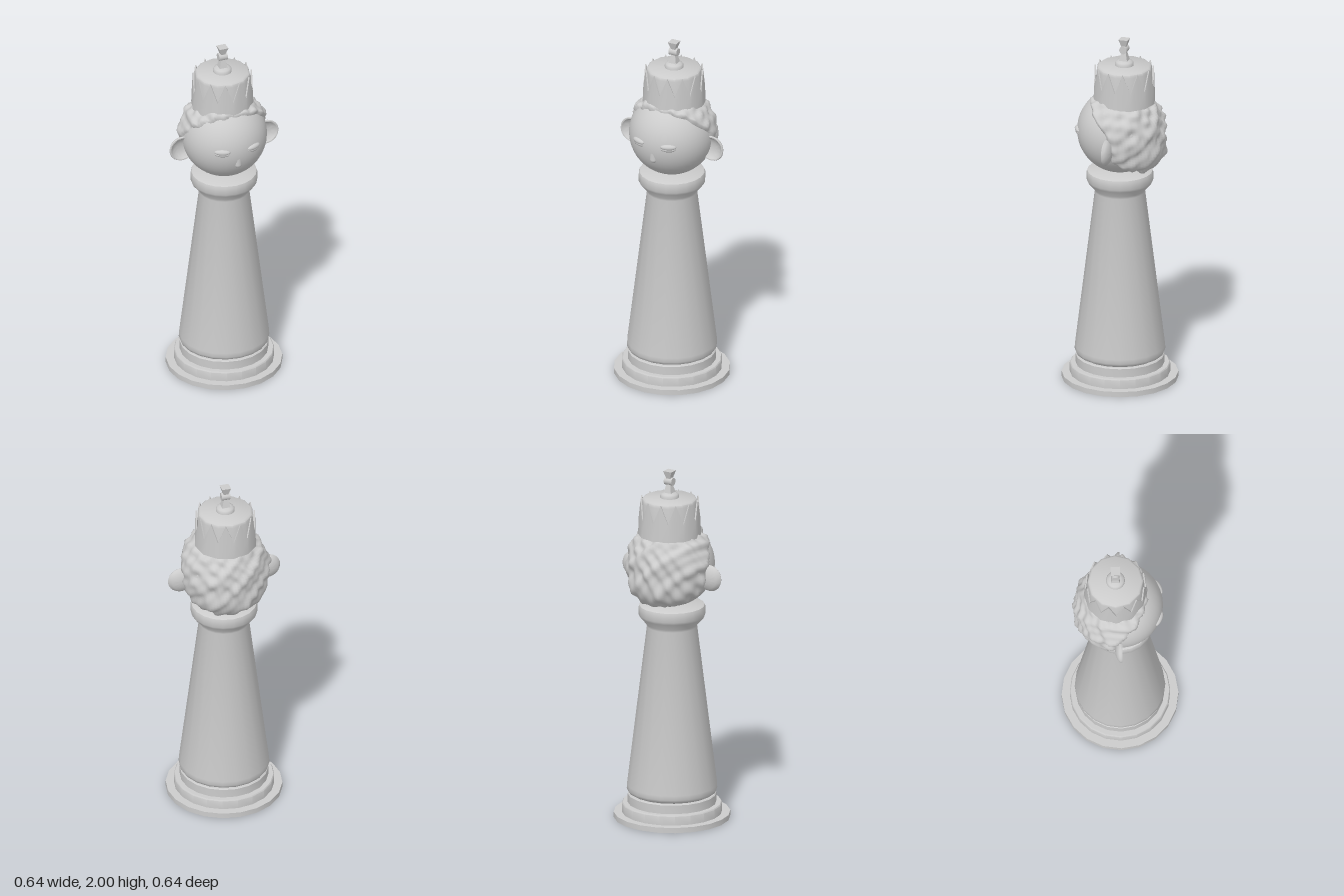
import * as THREE from 'three';
import { toCreasedNormals } from 'three/addons/utils/BufferGeometryUtils.js';

const material = new THREE.MeshStandardMaterial({ color: 0xcccccc });
const twoSided = new THREE.MeshStandardMaterial({ color: 0xcccccc, side: THREE.DoubleSide });
const HEAD_Y = 1.46, HEAD_R = 0.237, CROWN_Z = -0.025;

function part(name, geometry, x = 0, y = 0, z = 0, mat = material) {
  const mesh = new THREE.Mesh(geometry, mat);
  mesh.name = name;
  mesh.position.set(x, y, z);
  return mesh;
}

// Turned solid from [radius, height] pairs, bottom to top
function turned(points, sides) {
  const profile = points.map(([r, y]) => new THREE.Vector2(r, y));
  return toCreasedNormals(new THREE.LatheGeometry(profile, sides), 0.7);
}

function ellipsoid(name, rx, ry, rz, x, y, z) {
  const geometry = new THREE.SphereGeometry(1, 20, 14);
  geometry.scale(rx, ry, rz);
  return part(name, geometry, x, y, z);
}

// Front edge of the hair: z for a height relative to the head centre
function hairline(y) {
  const edge = [[-0.27, -0.24], [-0.21, -0.17], [-0.12, -0.02], [0.04, 0], [0.17, 0.14], [0.3, 0.3]];
  for (let i = 1; i < edge.length; i++) {
    const [y0, z0] = edge[i - 1], [y1, z1] = edge[i];
    if (y <= y1) return THREE.MathUtils.lerp(z0, z1, (y - y0) / (y1 - y0));
  }
  return 0.3;
}

// Lumpy cap of hair; where there is no hair it sinks inside the head
function hairGeometry() {
  const geometry = new THREE.SphereGeometry(1, 96, 64);
  const p = geometry.attributes.position, v = new THREE.Vector3();
  for (let i = 0; i < p.count; i++) {
    v.fromBufferAttribute(p, i);
    const { x, y, z } = v;
    const lumps = 0.008 * Math.sin(19 * x + 3 * y + 1) * Math.sin(17 * y + 4 * z)
      + 0.006 * Math.sin(23 * z + 9 * y) * Math.cos(13 * x - 6 * y)
      + 0.005 * Math.sin(9 * x + 11 * y + 2);
    const low = THREE.MathUtils.smoothstep(-y, 0.05, 0.6) * Math.max(0, -z);
    const full = 0.25 + lumps + 0.034 * low;
    const wobble = 0.008 * Math.sin(20 * x + 8 * y);
    const inside = hairline(y * 0.245) + wobble - z * 0.245;
    v.multiplyScalar(THREE.MathUtils.lerp(0.21, full, THREE.MathUtils.smoothstep(inside, -0.01, 0.02)));
    p.setXYZ(i, v.x, v.y, v.z);
  }
  geometry.computeVertexNormals();
  // Keep the normals equal along the seam
  const n = geometry.attributes.normal;
  for (let row = 0; row <= 64; row++) {
    const a = row * 97, b = a + 96;
    v.set(n.getX(a) + n.getX(b), n.getY(a) + n.getY(b), n.getZ(a) + n.getZ(b)).normalize();
    n.setXYZ(a, v.x, v.y, v.z);
    n.setXYZ(b, v.x, v.y, v.z);
  }
  return geometry;
}

// Twelve-sided band whose top edge zigzags into points
function crownGeometry() {
  const positions = [], index = [], steps = 24;
  for (let i = 0; i < steps; i++) {
    const tip = i % 2 === 1, a = (i / steps) * Math.PI * 2;
    const flat = tip ? Math.cos(Math.PI / 12) : 1;
    const top = tip ? 1.845 : 1.735;
    for (const [r, y] of [[0.174, 1.635], [0.17, top], [0.162, top], [0.162, 1.635]]) {
      positions.push(Math.sin(a) * r * flat, y, Math.cos(a) * r * flat);
    }
    for (let k = 0; k < 4; k++) {
      const a0 = i * 4 + k, a1 = i * 4 + (k + 1) % 4;
      const b0 = ((i + 1) % steps) * 4 + k, b1 = ((i + 1) % steps) * 4 + (k + 1) % 4;
      index.push(a0, b0, b1, a0, b1, a1);
    }
  }
  const geometry = new THREE.BufferGeometry();
  geometry.setAttribute('position', new THREE.Float32BufferAttribute(positions, 3));
  geometry.setIndex(index);
  return toCreasedNormals(geometry, 0.6);
}

// Square post, wider at one end
function squarePost(top, bottom, height) {
  const geometry = new THREE.CylinderGeometry(top * Math.SQRT1_2, bottom * Math.SQRT1_2, height, 4);
  geometry.rotateY(Math.PI / 4);
  return toCreasedNormals(geometry, 0.6);
}

export function createModel() {
  const model = new THREE.Group();
  model.name = 'chessKing';

  // Stepped base and tapered column
  model.add(part('base', turned([
    [0, 0], [0.322, 0], [0.322, 0.03], [0.277, 0.03], [0.277, 0.08], [0.272, 0.086],
    [0.245, 0.086], [0.245, 0.135], [0.24, 0.14], [0, 0.14],
  ], 20)));
  model.add(part('column', turned([
    [0, 0.138], [0.225, 0.14], [0.243, 0.15], [0.25, 0.165], [0.249, 0.19], [0.139, 1.1],
    [0.142, 1.115], [0.178, 1.155], [0.185, 1.17], [0.185, 1.21], [0.181, 1.222],
    [0.172, 1.227], [0, 1.227],
  ], 20)));

  // Head and face
  const head = new THREE.Group();
  head.name = 'head';
  head.position.y = HEAD_Y;
  head.add(part('face', new THREE.SphereGeometry(HEAD_R, 40, 28)));
  head.add(part('hair', hairGeometry()));
  const nose = new THREE.CapsuleGeometry(0.022, 0.06, 6, 16);
  head.add(part('nose', nose, 0, -0.048, 0.212));

  // Cupped ear: domed at the back, hollow at the front
  const earGeometry = turned([
    [0, -0.034], [0.03, -0.031], [0.055, -0.022], [0.07, -0.01], [0.075, 0], [0.072, 0.006],
    [0.066, 0.006], [0.058, -0.002], [0.045, -0.012], [0.025, -0.018], [0, -0.02],
  ], 28);
  earGeometry.rotateX(Math.PI / 2);
  for (const [side, s] of [['left', 1], ['right', -1]]) {
    head.add(part(side + 'Ear', earGeometry, s * 0.247, -0.045, 0, twoSided));
    const eye = new THREE.Group();
    eye.name = side + 'Eye';
    eye.position.set(s * 0.092, 0.008, 0.212);
    eye.rotation.y = s * 0.41;
    eye.add(ellipsoid('upperLid', 0.045, 0.017, 0.019, 0, 0.006, 0));
    eye.add(ellipsoid('lowerLid', 0.041, 0.015, 0.015, 0, -0.008, 0));
    head.add(eye);
  }
  model.add(head);

  // Crown with its cap and cross
  const crown = new THREE.Group();
  crown.name = 'crown';
  crown.position.z = CROWN_Z;
  crown.add(part('crownBand', crownGeometry(), 0, 0, 0, twoSided));
  crown.add(part('crownCap', turned([
    [0, 1.63], [0.156, 1.63], [0.156, 1.825], [0.152, 1.839], [0.142, 1.846], [0, 1.848],
  ], 12)));
  crown.add(part('crownKnob', turned([
    [0, 1.84], [0.052, 1.84], [0.052, 1.859], [0.046, 1.869], [0.03, 1.876], [0, 1.877],
  ], 24)));
  crown.add(part('crossStem', squarePost(0.022, 0.05, 0.06), 0, 1.9, 0));
  const bar = new THREE.CylinderGeometry(0.022, 0.022, 0.05, 16);
  bar.rotateZ(Math.PI / 2);
  crown.add(part('crossBar', bar, 0, 1.94, 0));
  crown.add(part('crossTop', squarePost(0.052, 0.022, 0.05), 0, 1.975, 0));
  model.add(crown);

  return model;
}
